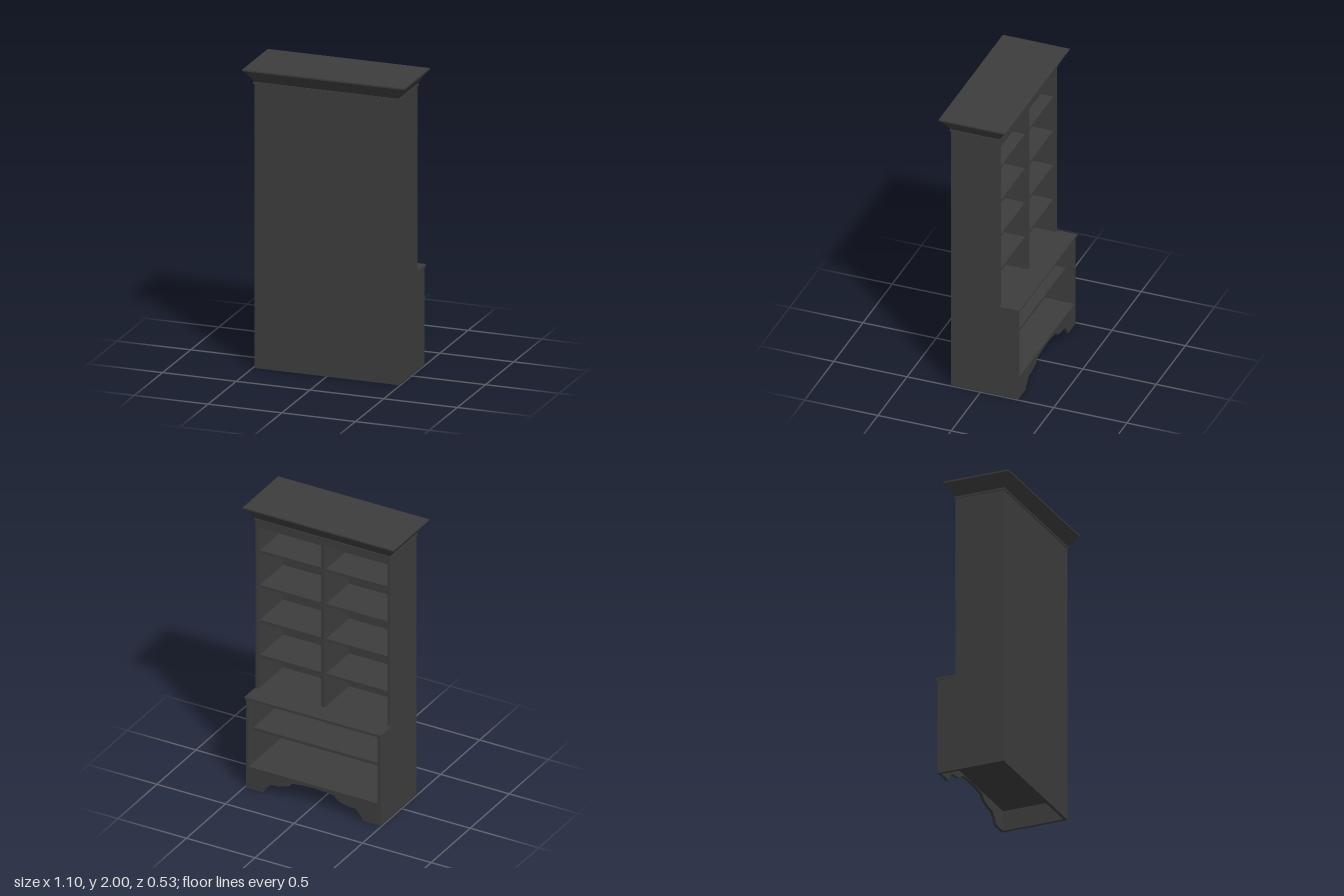
import * as THREE from 'three';

export function createModel() {
  const group = new THREE.Group();
  group.name = 'bookcase';
  const wood = new THREE.MeshStandardMaterial({ color: 0x3d3d3d });

  const T = 0.02;        // board thickness
  const W = 0.49;        // half width of the carcass
  const BACK = 0.205;    // closed face, +z
  const UPPER = -0.13;   // open edge of the upper case
  const LOWER = -0.255;  // open edge of the lower case

  function add(name, geometry) {
    const mesh = new THREE.Mesh(geometry, wood);
    mesh.name = name;
    group.add(mesh);
    return mesh;
  }
  // Box given by its limits on each axis
  function board(name, x0, x1, y0, y1, z0, z1) {
    const mesh = add(name, new THREE.BoxGeometry(x1 - x0, y1 - y0, z1 - z0));
    mesh.position.set((x0 + x1) / 2, (y0 + y1) / 2, (z0 + z1) / 2);
    return mesh;
  }
  const outline = (pts) => new THREE.Shape(pts.map(([x, y]) => new THREE.Vector2(x, y)));

  // Stepped side panels: outline drawn in (-z, y), extruded across x
  const sideShape = outline([
    [-BACK, 0], [-LOWER, 0], [-LOWER, 0.65], [-UPPER, 0.65], [-UPPER, 1.9], [-BACK, 1.9],
  ]);
  for (const side of [1, -1]) {
    const geo = new THREE.ExtrudeGeometry(sideShape, { depth: T, bevelEnabled: false });
    geo.rotateY(Math.PI / 2);
    const panel = add(side > 0 ? 'leftSidePanel' : 'rightSidePanel', geo);
    panel.position.x = side > 0 ? W - T : -W;
  }

  // Closed back and top of the upper case
  const inner = W - T;
  board('backPanel', -inner, inner, 0, 1.9, BACK - T, BACK);
  board('topBoard', -inner, inner, 1.845, 1.9, UPPER, BACK - T);

  // Upper case: divider and four shelves on either side of it
  const D = 0.0125;
  board('divider', -D, D, 0.66, 1.845, UPPER, BACK - T);
  for (let i = 0; i < 4; i++) {
    const y = 0.885 + i * 0.255;
    board('upperShelfLeft', D, inner, y, y + T, UPPER + 0.02, BACK - T);
    board('upperShelfRight', -inner, -D, y, y + T, UPPER + 0.02, BACK - T);
  }

  // Counter with a stepped nosing
  board('counterInside', -inner, inner, 0.645, 0.665, UPPER, BACK - T);
  board('counterMoulding', -W - 0.003, W + 0.003, 0.645, 0.654, LOWER - 0.005, UPPER);
  board('counterTop', -W - 0.006, W + 0.006, 0.654, 0.665, LOWER - 0.01, UPPER);

  // Lower case shelves
  board('lowerShelf', -inner, inner, 0.395, 0.415, -0.195, BACK - T);
  board('bottomBoard', -inner, inner, 0.138, 0.158, LOWER + T, BACK - T);

  // Scalloped apron under the lower case
  const apron = new THREE.Shape();
  apron.moveTo(-inner, 0);
  apron.lineTo(-0.365, 0);
  apron.quadraticCurveTo(-0.34, 0.05, -0.305, 0.072);
  apron.quadraticCurveTo(-0.23, 0.072, -0.17, 0.102);
  apron.lineTo(-0.155, 0.122);
  apron.quadraticCurveTo(0, 0.148, 0.155, 0.122);
  apron.lineTo(0.17, 0.102);
  apron.quadraticCurveTo(0.23, 0.072, 0.305, 0.072);
  apron.quadraticCurveTo(0.34, 0.05, 0.365, 0);
  apron.lineTo(inner, 0);
  apron.lineTo(inner, 0.158);
  apron.lineTo(-inner, 0.158);
  const apronGeo = new THREE.ExtrudeGeometry(apron, { depth: T, bevelEnabled: false, curveSegments: 8 });
  add('apron', apronGeo).position.z = LOWER;

  // Cornice: bead, flared moulding and top lip
  const midZ = (BACK + UPPER) / 2;
  const depth = BACK - UPPER;
  board('corniceBead', -W - 0.006, W + 0.006, 1.895, 1.908, UPPER - 0.006, BACK + 0.006);
  const flare = new THREE.BoxGeometry(2 * W, 0.084, depth);
  const pos = flare.attributes.position;
  for (let i = 0; i < pos.count; i++) {
    if (pos.getY(i) < 0) continue;
    pos.setX(i, pos.getX(i) + Math.sign(pos.getX(i)) * 0.054);
    pos.setZ(i, pos.getZ(i) + Math.sign(pos.getZ(i)) * 0.054);
  }
  flare.computeVertexNormals();
  add('corniceFlare', flare).position.set(0, 1.95, midZ);
  board('corniceLip', -0.55, 0.55, 1.99, 2, midZ - depth / 2 - 0.06, midZ + depth / 2 + 0.06);

  return group;
}
